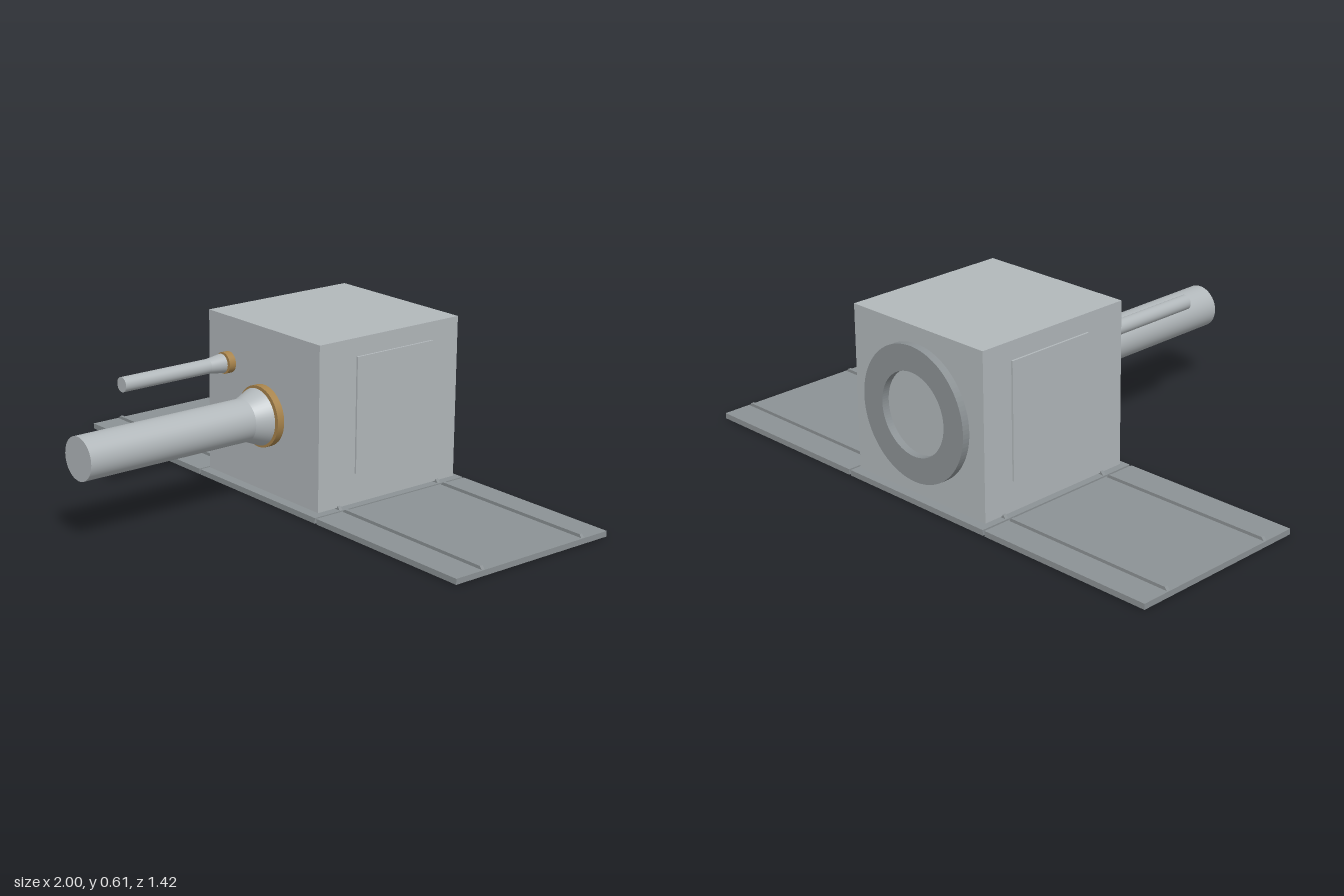
import * as THREE from 'three';

export function createModel() {
  const root = new THREE.Group();
  const mat = (name, color) => {
    const m = new THREE.MeshStandardMaterial({ color });
    m.name = name;
    return m;
  };
  const hull = mat('light grey hull', 0xb2b8bb);
  const trim = mat('mid grey trim', 0x8c9295);
  const gold = mat('bronze collar', 0xa8844c);
  const cell = mat('dark navy solar cell', 0x27313d);

  const add = (name, geometry, material, parent = root) => {
    const mesh = new THREE.Mesh(geometry, material);
    mesh.name = name;
    parent.add(mesh);
    return mesh;
  };
  // Box given by its extents on each axis
  const box = (name, [x0, x1], [y0, y1], [z0, z1], material, parent) => {
    const mesh = add(name, new THREE.BoxGeometry(x1 - x0, y1 - y0, z1 - z0), material, parent);
    mesh.position.set((x0 + x1) / 2, (y0 + y1) / 2, (z0 + z1) / 2);
    return mesh;
  };
  // Disc or tube along z, from z0 (radius r0) to z1 (radius r1)
  const tube = (name, x, y, z0, z1, r0, r1, material, parent) => {
    const g = new THREE.CylinderGeometry(r1, r0, z1 - z0, 48).rotateX(Math.PI / 2);
    add(name, g, material, parent).position.set(x, y, (z0 + z1) / 2);
  };

  // Body with a shallow access plate on each side
  box('body', [-0.3, 0.3], [0.028, 0.61], [-0.68, -0.06], hull);
  for (const s of [-1, 1]) {
    const plate = box('sidePlate', [-0.0035, 0.0035], [0.135, 0.545], [-0.56, -0.22], hull);
    plate.position.x = s * 0.3035;
  }

  // Docking ring at the back
  const ring = new THREE.Shape().absarc(0, 0, 0.234, 0, Math.PI * 2);
  ring.holes.push(new THREE.Path().absarc(0, 0, 0.145, 0, Math.PI * 2, true));
  const ringGeo = new THREE.ExtrudeGeometry(ring, { depth: 0.028, bevelEnabled: false, curveSegments: 48 });
  add('dockingRing', ringGeo, trim).position.set(0, 0.318, -0.707);

  // Two booms on the front: collar, flared foot, long tube
  const boom = (name, x, y, r, rFoot, rCollar, zEnd) => {
    const g = new THREE.Group();
    g.name = name;
    root.add(g);
    tube(name + 'Core', x, y, -0.062, -0.018, r, r, hull, g);
    tube(name + 'Collar', x, y, -0.052, -0.025, rCollar, rCollar, gold, g);
    tube(name + 'Foot', x, y, -0.019, 0.042, rFoot, r, hull, g);
    tube(name + 'Tube', x, y, 0.042, zEnd, r, r, hull, g);
  };
  boom('mainBoom', 0.02, 0.305, 0.075, 0.1, 0.108, 0.707);
  boom('smallBoom', -0.175, 0.45, 0.026, 0.034, 0.038, 0.4);

  // Solar panels: centre base and two wings, cells underneath, rails on top
  const zBack = -0.709, zFront = -0.031, zMid = (zBack + zFront) / 2;
  const panel = (name, x0, x1) => {
    const g = new THREE.Group();
    g.name = name;
    root.add(g);
    box(name + 'Board', [x0, x1], [0.002, 0.022], [zBack, zFront], trim, g);
    for (const [a, b] of [[zBack + 0.006, zMid - 0.005], [zMid + 0.005, zFront - 0.006]])
      box(name + 'Cells', [x0 + 0.006, x1 - 0.006], [0, 0.004], [a, b], cell, g);
    // Rails with sloped ends
    const section = new THREE.Shape([
      [x0 + 0.004, 0.021], [x1 - 0.004, 0.021], [x1 - 0.014, 0.033], [x0 + 0.014, 0.033],
    ].map(([x, y]) => new THREE.Vector2(x, y)));
    for (const z of [-0.6, -0.15]) {
      const rail = new THREE.ExtrudeGeometry(section, { depth: 0.012, bevelEnabled: false });
      add(name + 'Rail', rail, trim, g).position.z = z - 0.006;
    }
  };
  panel('basePanel', -0.318, 0.318);
  panel('leftWing', 0.326, 1);
  panel('rightWing', -1, -0.326);

  return root;
}
